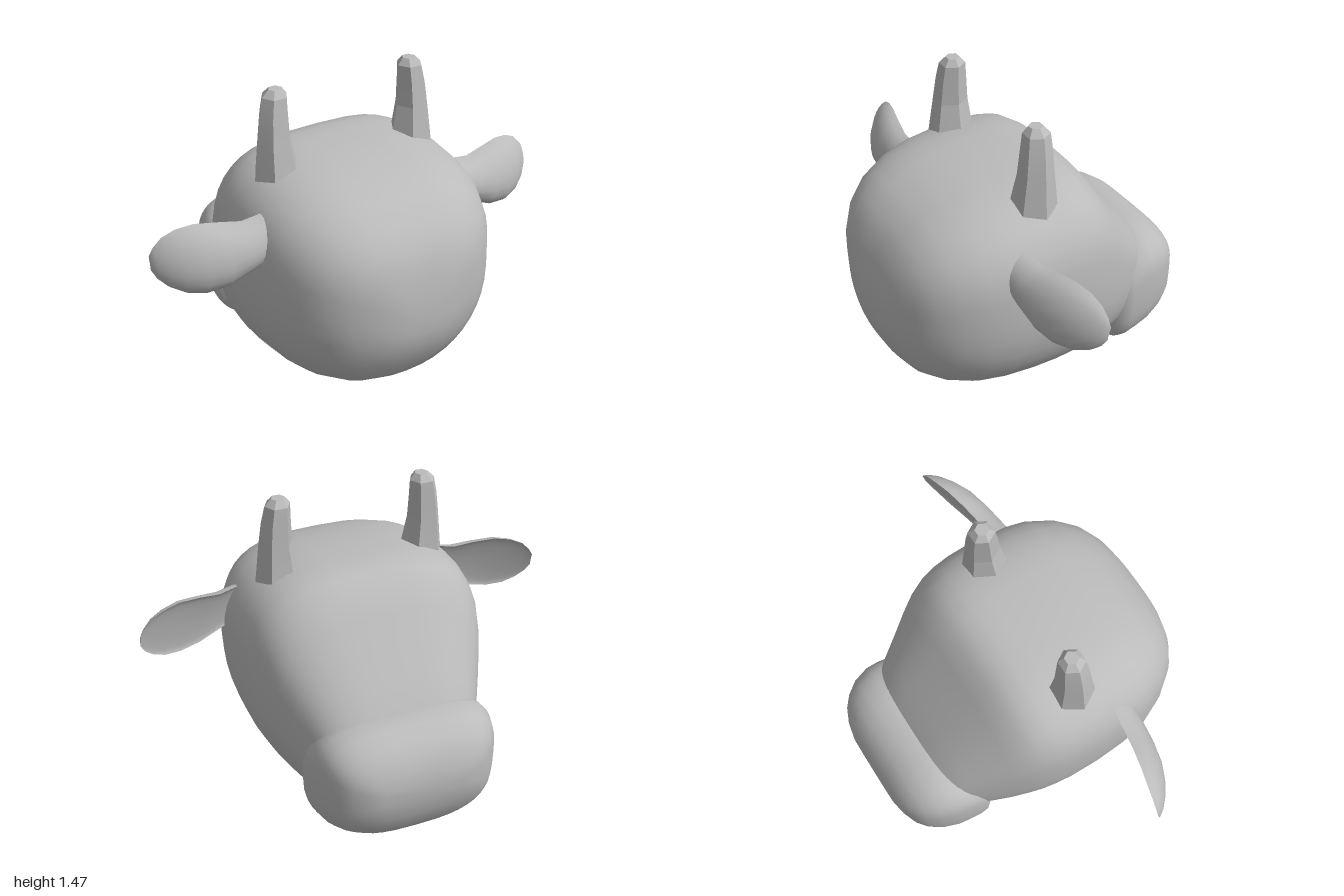
import * as THREE from 'three';
import { toCreasedNormals } from 'three/addons/utils/BufferGeometryUtils.js';

// Skin a list of closed rings, cap both ends, and make the faces point outward.
function loft(rings) {
  const n = rings[0].length, pos = [], idx = [];
  rings.forEach(r => r.forEach(p => pos.push(...p)));
  for (let i = 0; i < rings.length - 1; i++) {
    for (let j = 0; j < n; j++) {
      const a = i * n + j, b = i * n + (j + 1) % n;
      idx.push(a, b, a + n, b, b + n, a + n);
    }
  }
  const cap = (ring, base, flip) => {
    const c = [0, 1, 2].map(k => ring.reduce((s, p) => s + p[k], 0) / n);
    const ci = pos.push(...c) / 3 - 1;
    for (let j = 0; j < n; j++) {
      const a = base + j, b = base + (j + 1) % n;
      idx.push(ci, flip ? a : b, flip ? b : a);
    }
  };
  cap(rings[0], 0, false);
  cap(rings[rings.length - 1], (rings.length - 1) * n, true);

  const v = i => new THREE.Vector3().fromArray(pos, i * 3);
  let volume = 0;
  for (let i = 0; i < idx.length; i += 3) {
    volume += v(idx[i]).dot(v(idx[i + 1]).cross(v(idx[i + 2])));
  }
  if (volume < 0) idx.reverse();
  const g = new THREE.BufferGeometry();
  g.setAttribute('position', new THREE.Float32BufferAttribute(pos, 3));
  g.setIndex(idx);
  g.computeVertexNormals();
  return g;
}

// Rounded cross-section across z, with its own squareness above and below the widest line.
function section([z, top, bottom, w], mid, nTop, nBottom, count = 40) {
  const yc = bottom + (top - bottom) * mid;
  return Array.from({ length: count }, (_, i) => {
    const a = i / count * Math.PI * 2, c = Math.cos(a), s = Math.sin(a);
    const e = 2 / (s > 0 ? nTop : nBottom);
    const h = s > 0 ? top - yc : yc - bottom;
    return [
      w * Math.sign(c) * Math.abs(c) ** e,
      yc + h * Math.sign(s) * Math.abs(s) ** e,
      z,
    ];
  });
}

// z, top, bottom, half width
const HEAD = [
  [0.765, 0.62, 0.48, 0.08], [0.755, 0.72, 0.42, 0.17], [0.735, 0.82, 0.365, 0.25],
  [0.70, 0.90, 0.29, 0.34], [0.64, 0.98, 0.205, 0.425], [0.55, 1.05, 0.14, 0.495],
  [0.43, 1.10, 0.09, 0.55], [0.30, 1.133, 0.06, 0.576], [0.15, 1.15, 0.038, 0.584],
  [0.02, 1.157, 0.024, 0.58], [-0.06, 1.153, 0.018, 0.57], [-0.13, 1.137, 0.015, 0.555],
  [-0.20, 1.09, 0.015, 0.53], [-0.27, 1.00, 0.02, 0.498], [-0.35, 0.89, 0.028, 0.455],
  [-0.45, 0.765, 0.05, 0.40], [-0.53, 0.65, 0.10, 0.35], [-0.60, 0.54, 0.2, 0.26],
];
const MUZZLE = [
  [-0.30, 0.42, 0.10, 0.32], [-0.34, 0.48, 0.04, 0.40], [-0.38, 0.55, 0.015, 0.435],
  [-0.42, 0.60, 0.005, 0.442], [-0.48, 0.635, 0.014, 0.44], [-0.54, 0.65, 0.03, 0.435],
  [-0.62, 0.632, 0.07, 0.41], [-0.68, 0.59, 0.11, 0.37], [-0.72, 0.545, 0.16, 0.325],
  [-0.75, 0.485, 0.24, 0.26], [-0.765, 0.42, 0.31, 0.19],
];
// x, top, bottom, rim z, bulge
const EAR = [
  [0.49, 0.985, 0.80, 0.265, 0.09], [0.60, 0.965, 0.75, 0.255, 0.097],
  [0.70, 0.98, 0.705, 0.243, 0.10], [0.80, 0.99, 0.69, 0.222, 0.098],
  [0.88, 0.977, 0.703, 0.20, 0.083], [0.94, 0.95, 0.735, 0.183, 0.058],
  [0.98, 0.91, 0.775, 0.17, 0.032], [1.0, 0.875, 0.815, 0.162, 0.01],
];
// y, centre x, centre z, radius
const HORN = [
  [1.10, 0.36, 0.113, 0.102], [1.25, 0.362, 0.107, 0.08],
  [1.36, 0.357, 0.102, 0.07], [1.44, 0.349, 0.098, 0.06], [1.472, 0.345, 0.098, 0.032],
];

// Ear section: round at the back, shallow hollow on the inner side
function earRing([x, top, bottom, rim, bulge], side) {
  return Array.from({ length: 20 }, (_, i) => {
    const a = i / 20 * Math.PI * 2, c = Math.cos(a), s = Math.sin(a);
    const y = (top + bottom) / 2 + (top - bottom) / 2 * c;
    const z = rim - 0.11 * (top - bottom) * c + bulge * (s > 0 ? s : -0.15 * s);
    return [side * x, y, z];
  });
}

// Six-sided horn ring; the lowest one slopes with the skull
function hornRing([y, cx, cz, r], level, side) {
  return Array.from({ length: 6 }, (_, i) => {
    const a = i / 6 * Math.PI * 2, dx = r * Math.cos(a);
    return [side * (cx + dx), y - (level === 0 ? 0.35 * dx : 0), cz + r * Math.sin(a)];
  });
}

export function createModel() {
  const model = new THREE.Group();
  model.name = 'cowHead';
  const grey = new THREE.MeshStandardMaterial({ color: 0xbbbbbb });
  grey.name = 'grey';
  const add = (name, geometry) => {
    const mesh = new THREE.Mesh(geometry, grey);
    mesh.name = name;
    model.add(mesh);
  };

  add('skull', loft(HEAD.map(s => section(s, 0.55, 3, 2.25))));
  add('muzzle', loft(MUZZLE.map(s => section(s, 0.55, 3.4, 2.9))));

  for (const [label, side] of [['left', 1], ['right', -1]]) {
    add(label + 'Ear', toCreasedNormals(loft(EAR.map(s => earRing(s, side))), 0.9));
    add(label + 'Horn', toCreasedNormals(loft(HORN.map((s, i) => hornRing(s, i, side))), 0.1));
  }
  return model;
}
